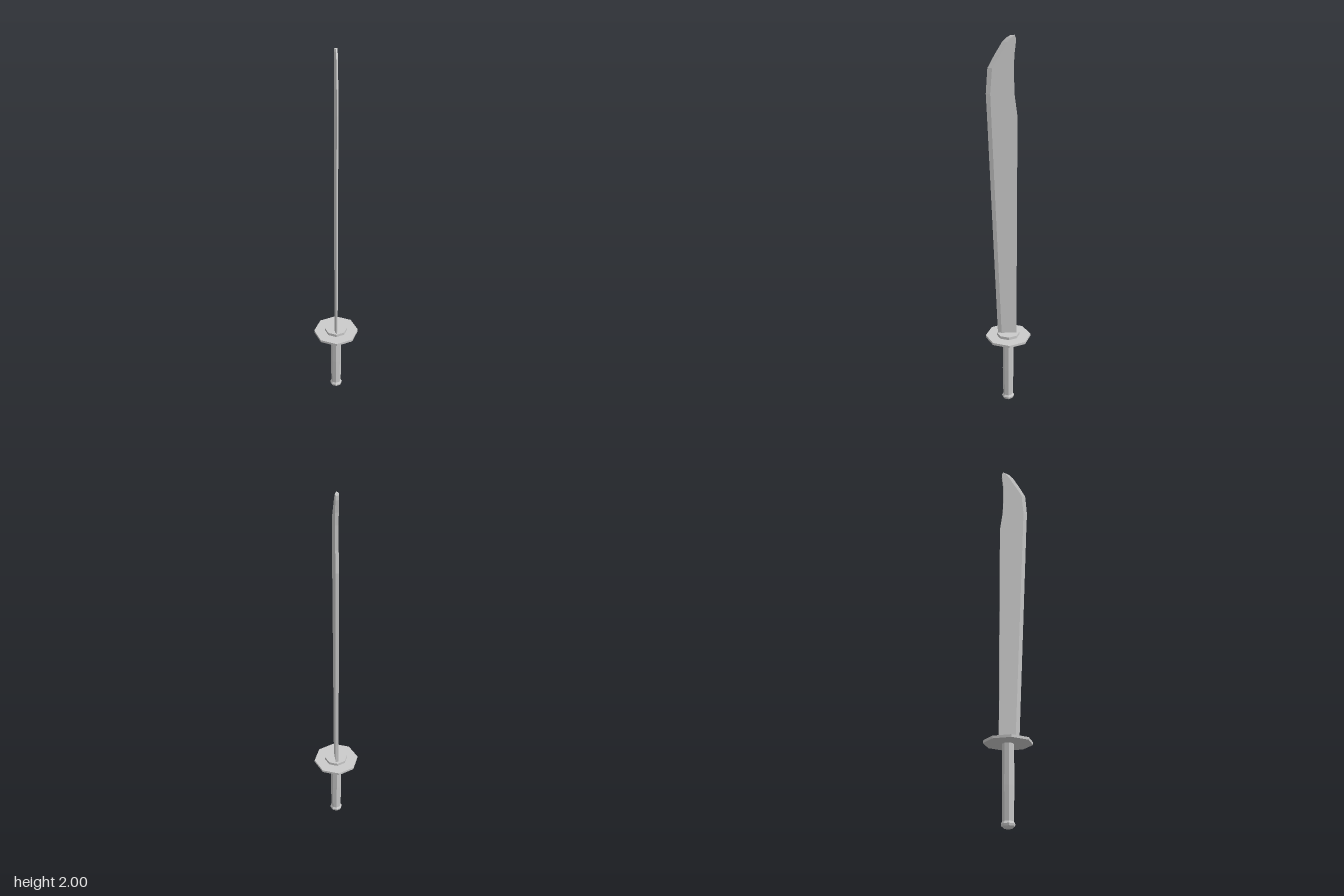
import * as THREE from 'three';

const material = new THREE.MeshStandardMaterial({ color: 0xcccccc, flatShading: true });

function addMesh(group, name, geometry) {
  const mesh = new THREE.Mesh(geometry, material);
  mesh.name = name;
  group.add(mesh);
  return mesh;
}

// Eight-sided turned part from [radius, height] pairs, bottom to top
function turned(profile) {
  return new THREE.LatheGeometry(profile.map(([r, y]) => new THREE.Vector2(r, y)), 8);
}

// Five-sided blade section: flat spine at the back, bevelled cutting edge at the front
function bladeGeometry() {
  const half = 0.008;
  // height, spine z, edge z, bevel depth
  const sections = [
    [0.41, -0.045, 0.055, 0.02],
    [1.62, -0.045, 0.102, 0.02],
    [1.73, -0.03, 0.107, 0.021],
    [1.85, -0.027, 0.098, 0.022],
    [1.91, -0.029, 0.065, 0.026],
    [1.97, -0.036, 0.028, 0.026],
    [1.99, -0.035, 0.007, 0.022],
    [2.0, -0.03, -0.012, 0.017],
  ];
  const positions = [];
  const index = [];
  for (const [y, spine, edge, bevel] of sections) {
    const shoulder = edge - bevel;
    positions.push(half, y, shoulder, half, y, spine, -half, y, spine, -half, y, shoulder, 0, y, edge);
  }
  const n = 5;
  for (let i = 0; i < sections.length - 1; i++) {
    for (let j = 0; j < n; j++) {
      const a = i * n + j;
      const b = i * n + (j + 1) % n;
      index.push(a, b, b + n, a, b + n, a + n);
    }
  }
  // End caps
  const top = (sections.length - 1) * n;
  for (let j = 1; j < n - 1; j++) {
    index.push(0, j + 1, j, top, top + j, top + j + 1);
  }
  const geometry = new THREE.BufferGeometry();
  geometry.setAttribute('position', new THREE.Float32BufferAttribute(positions, 3));
  geometry.setIndex(index);
  geometry.computeVertexNormals();
  return geometry;
}

export function createModel() {
  const sword = new THREE.Group();
  sword.name = 'sword';

  addMesh(sword, 'blade', bladeGeometry());

  // Wide guard plate with a smaller collar around the blade
  addMesh(sword, 'guard', new THREE.CylinderGeometry(0.122, 0.122, 0.013, 8)).position.y = 0.407;
  addMesh(sword, 'collar', new THREE.CylinderGeometry(0.062, 0.062, 0.016, 8)).position.y = 0.421;

  // Grip and rounded pommel
  addMesh(sword, 'grip', turned([[0.027, 0.03], [0.03, 0.2], [0.029, 0.402]]));
  addMesh(sword, 'pommel', turned([
    [0, 0], [0.02, 0.004], [0.032, 0.014], [0.034, 0.025], [0.027, 0.036], [0, 0.036],
  ]));

  return sword;
}
